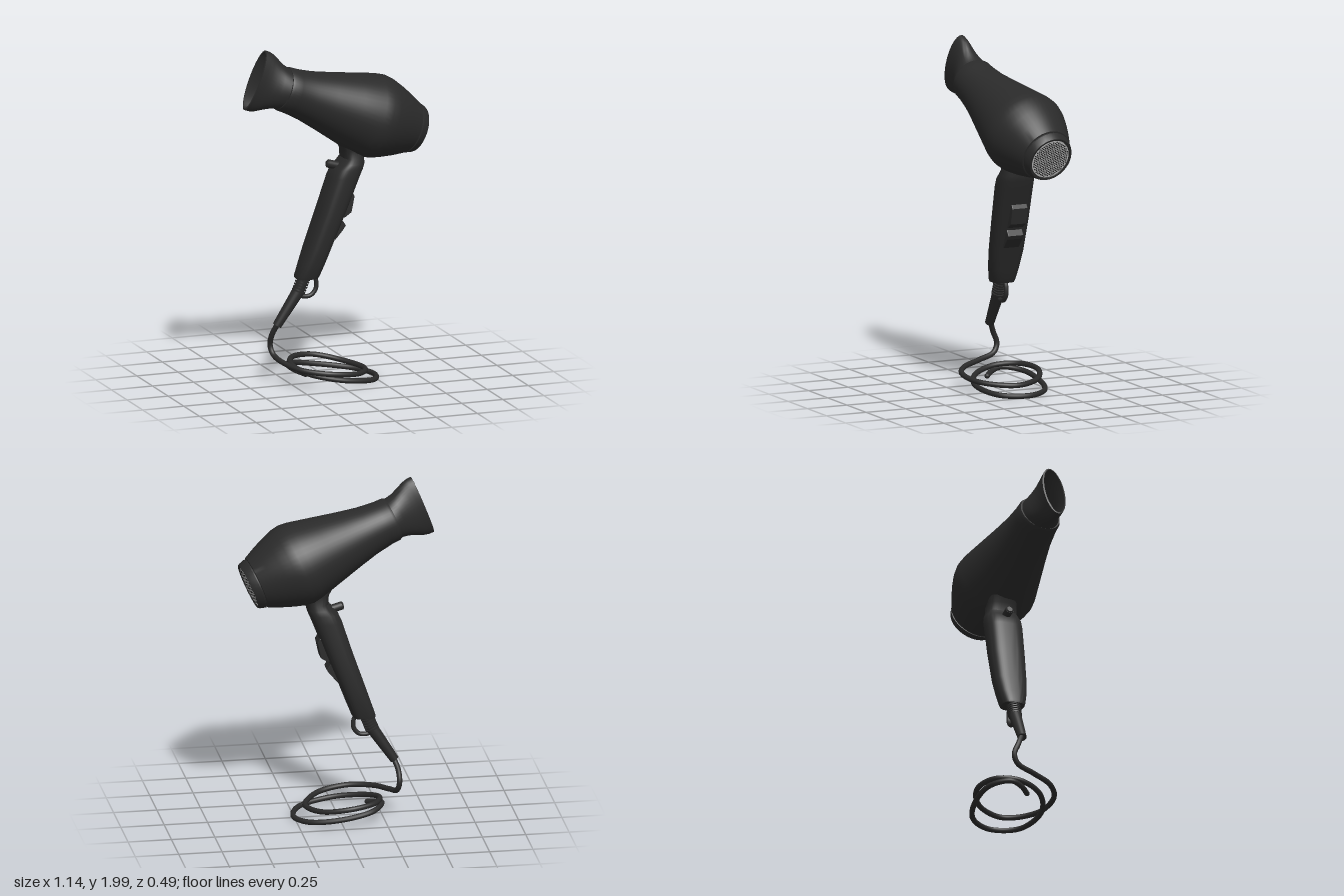
import * as THREE from 'three';
import { mergeGeometries, toCreasedNormals } from 'three/addons/utils/BufferGeometryUtils.js';

const black = new THREE.MeshStandardMaterial({ color: 0x2a2a2a });
black.name = 'matte black';
const silver = new THREE.MeshStandardMaterial({ color: 0xc4c4c4 });
silver.name = 'mesh silver';

const V = (x, y, z) => new THREE.Vector3(x, y, z);

function add(parent, name, geometry, material = black) {
  const mesh = new THREE.Mesh(geometry, material);
  mesh.name = name;
  parent.add(mesh);
  return mesh;
}

// Skin over level cross-sections [y, rx, rz, cx, cz]; power > 2 squares them off
function loft(rows, power = 2, sides = 48) {
  const pos = [], index = [];
  const bend = (c) => Math.sign(c) * Math.abs(c) ** (2 / power);
  for (const [y, rx, rz = rx, cx = 0, cz = 0] of rows) {
    for (let j = 0; j < sides; j++) {
      const a = (j / sides) * Math.PI * 2;
      pos.push(cx + rx * bend(Math.cos(a)), y, cz + rz * bend(Math.sin(a)));
    }
  }
  for (let i = 0; i < rows.length - 1; i++) {
    for (let j = 0; j < sides; j++) {
      const k = (j + 1) % sides;
      const p = i * sides + j, q = i * sides + k;
      index.push(p, p + sides, q, q, p + sides, q + sides);
    }
  }
  const g = new THREE.BufferGeometry();
  g.setAttribute('position', new THREE.Float32BufferAttribute(pos, 3));
  g.setIndex(index);
  return toCreasedNormals(g, 0.6);
}

// Straight tapered rod between two points
function rod(parent, name, a, b, ra, rb, sides = 24) {
  const mesh = add(parent, name, new THREE.CylinderGeometry(rb, ra, a.distanceTo(b), sides));
  mesh.position.lerpVectors(a, b, 0.5);
  mesh.quaternion.setFromUnitVectors(V(0, 1, 0), b.clone().sub(a).normalize());
  return mesh;
}

function tube(parent, name, points, radius, segments) {
  const curve = new THREE.CatmullRomCurve3(points.map((p) => V(...p)));
  return add(parent, name, new THREE.TubeGeometry(curve, segments, radius, 12));
}

// Barrel, nozzle and intake; local y runs from the intake to the nozzle
function buildHead() {
  const head = new THREE.Group();
  head.name = 'head';
  const axis = V(-0.927, 0.364, 0.095).normalize();
  const side = V(0, 0, 1).addScaledVector(axis, -axis.z).normalize();
  const up = axis.clone().cross(side);
  head.quaternion.setFromRotationMatrix(new THREE.Matrix4().makeBasis(up, axis, side));
  head.position.set(0.52, 1.43, -0.035);

  add(head, 'barrel', loft([
    [0.012, 0], [0.012, 0.118], [0, 0.122], [-0.002, 0.134], [0.008, 0.14], [0.04, 0.15],
    [0.042, 0.146], [0.05, 0.147], [0.052, 0.155], [0.12, 0.187], [0.19, 0.215], [0.25, 0.235],
    [0.3, 0.243], [0.35, 0.237], [0.48, 0.206], [0.63, 0.17], [0.75, 0.144], [0.85, 0.131],
    [0.9, 0.129], [0.915, 0.122], [0.915, 0],
  ]));

  // Hollow flattened nozzle
  add(head, 'nozzle', loft([
    [0.86, 0.118, 0.122], [0.92, 0.122, 0.112], [0.96, 0.133, 0.094], [1.0, 0.152, 0.078],
    [1.04, 0.172, 0.07], [1.07, 0.18, 0.068], [1.1, 0.181, 0.068], [1.102, 0.172, 0.059],
    [1.06, 0.168, 0.058], [1.0, 0.14, 0.062], [0.95, 0.118, 0.07], [0.95, 0, 0],
  ]));

  // Intake mesh: a light plate covered with small dark holes
  const plate = add(head, 'intakeMesh', new THREE.CylinderGeometry(0.119, 0.119, 0.008, 48), silver);
  plate.position.y = 0.007;
  const holes = [], step = 0.0135;
  for (let r = -10; r <= 10; r++) {
    for (let c = -9; c <= 9; c++) {
      const x = (c + (r & 1) / 2) * step, z = r * step * 0.866;
      if (Math.hypot(x, z) > 0.113) continue;
      holes.push(new THREE.CircleGeometry(0.0055, 6).rotateX(Math.PI / 2).translate(x, 0.002, z));
    }
  }
  add(head, 'intakeHoles', mergeGeometries(holes));
  return head;
}

function buildHandle() {
  const handle = new THREE.Group();
  handle.name = 'handle';
  add(handle, 'grip', loft([
    [0.615, 0, 0, -0.143, -0.047], [0.615, 0.064, 0.066, -0.143, -0.047],
    [0.63, 0.068, 0.071, -0.138, -0.046], [0.7, 0.07, 0.085, -0.112, -0.043],
    [0.8, 0.072, 0.097, -0.076, -0.04], [1.0, 0.078, 0.104, -0.001, -0.03],
    [1.2, 0.085, 0.106, 0.07, -0.02], [1.25, 0.084, 0.105, 0.092, -0.018],
    [1.28, 0.072, 0.1, 0.112, -0.016], [1.31, 0.06, 0.09, 0.122, -0.015],
    [1.36, 0.068, 0.088, 0.125, -0.015], [1.42, 0.1, 0.1, 0.125, -0.015],
  ], 2.8));

  // Two rocker switches, profile extruded across the grip
  const rockers = [
    [[0.03, 0.97], [0.07, 0.965], [0.107, 0.99], [0.126, 1.08], [0.115, 1.1], [0.06, 1.1]],
    [[-0.02, 0.85], [0.012, 0.84], [0.06, 0.895], [0.072, 0.915], [0.045, 0.955], [0.02, 0.96]],
  ];
  for (const profile of rockers) {
    const shape = new THREE.Shape(profile.map(([x, y]) => new THREE.Vector2(x, y)));
    const g = new THREE.ExtrudeGeometry(shape, {
      depth: 0.09, bevelThickness: 0.004, bevelSize: 0.003, bevelSegments: 2,
    });
    add(handle, 'rockerSwitch', g).position.z = -0.077;
  }

  // Round push button on the nozzle side
  rod(handle, 'pushButton', V(0.06, 1.255, -0.018), V(-0.022, 1.279, -0.018), 0.024, 0.024);
  rod(handle, 'pushButtonCap', V(-0.022, 1.279, -0.018), V(-0.03, 1.281, -0.018), 0.024, 0.016);
  return handle;
}

function buildCord() {
  const cord = new THREE.Group();
  cord.name = 'cord';
  // Ribbed strain relief and tapered sleeve
  const top = V(-0.152, 0.63, -0.046), mid = V(-0.192, 0.53, -0.048);
  const end = V(-0.318, 0.345, -0.055);
  rod(cord, 'reliefCore', top, mid, 0.032, 0.03);
  for (let i = 0; i < 6; i++) {
    const a = top.clone().lerp(mid, 0.12 + i * 0.15);
    const b = top.clone().lerp(mid, 0.2 + i * 0.15);
    rod(cord, 'reliefRib', a, b, 0.04, 0.039);
  }
  rod(cord, 'sleeve', V(-0.186, 0.545, -0.048), end, 0.036, 0.026);
  tube(cord, 'hangingLoop', [
    [-0.1, 0.63, -0.046], [-0.083, 0.59, -0.046], [-0.085, 0.545, -0.046],
    [-0.115, 0.51, -0.046], [-0.155, 0.505, -0.046], [-0.2, 0.52, -0.047],
  ], 0.013, 32);

  // Cable falls from the sleeve and lies in two loose coils
  tube(cord, 'cable', [
    [-0.31, 0.36, -0.055], [-0.335, 0.29, -0.085], [-0.338, 0.22, -0.11], [-0.328, 0.17, -0.085],
    [-0.3, 0.14, 0.02], [-0.23, 0.12, 0.15], [-0.09, 0.105, 0.224], [0.08, 0.085, 0.19],
    [0.185, 0.072, 0.02], [0.11, 0.085, -0.15], [-0.04, 0.115, -0.22], [-0.18, 0.125, -0.17],
    [-0.235, 0.115, -0.04], [-0.18, 0.085, 0.1], [0, 0.052, 0.185], [0.2, 0.027, 0.13],
    [0.258, 0.022, -0.03], [0.18, 0.03, -0.16], [0, 0.055, -0.215], [-0.17, 0.085, -0.19],
    [-0.24, 0.1, -0.09], [-0.22, 0.085, -0.02], [-0.175, 0.068, 0.03],
  ], 0.0155, 260);
  const tip = add(cord, 'cableEnd', new THREE.SphereGeometry(0.0155, 12, 8));
  tip.position.set(-0.175, 0.068, 0.03);
  return cord;
}

export function createModel() {
  const model = new THREE.Group();
  model.name = 'hairDryer';
  model.add(buildHead(), buildHandle(), buildCord());
  return model;
}
